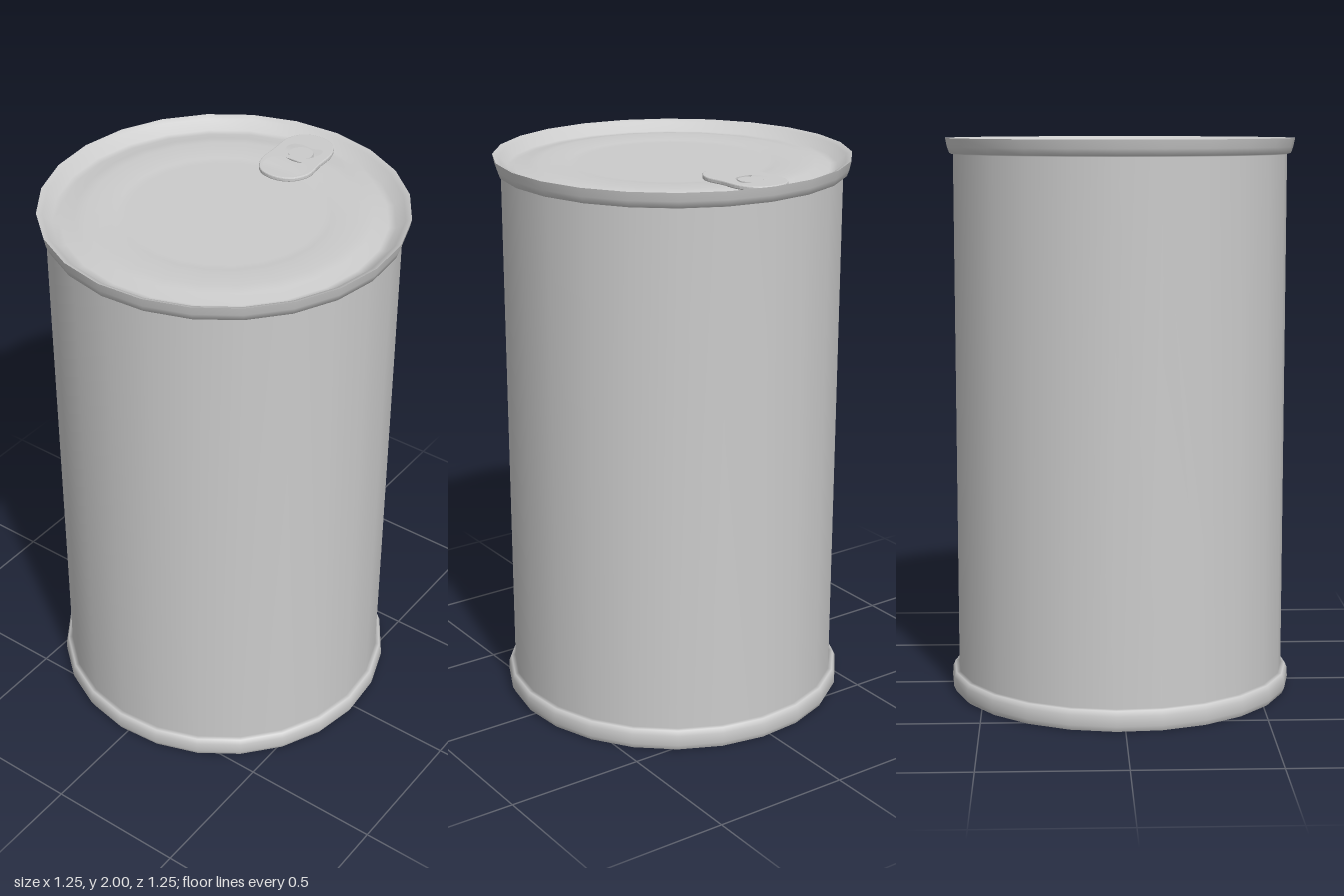
import * as THREE from 'three';

const SIDES = 24;
const START = -THREE.MathUtils.degToRad(3);
const metal = new THREE.MeshStandardMaterial({ color: 0xcccccc });

function add(group, name, geometry) {
  const mesh = new THREE.Mesh(geometry, metal);
  mesh.name = name;
  group.add(mesh);
  return mesh;
}

// Surface of revolution; points run upward on the outside, inward on top
function turned(points) {
  return new THREE.LatheGeometry(points.map(([r, y]) => new THREE.Vector2(r, y)), SIDES, START);
}

// Closed smooth outline through (x, z) points, drawn in the lid plane
function outline(points, Type) {
  const curve = new THREE.CatmullRomCurve3(
    points.map(([x, z]) => new THREE.Vector3(x, -z, 0)), true, 'centripetal');
  return new Type(curve.getPoints(48).slice(0, -1).map(p => new THREE.Vector2(p.x, p.y)));
}

function pullTab() {
  const tab = new THREE.Group();
  tab.name = 'pullTab';

  // Ring plate with a finger hole and a rivet opening
  const plate = outline([[0.26, 0.01], [0.275, -0.05], [0.33, -0.087], [0.42, -0.094], [0.51, -0.097],
    [0.565, -0.065], [0.583, -0.005], [0.565, 0.055], [0.51, 0.091], [0.42, 0.099], [0.34, 0.106],
    [0.28, 0.07]], THREE.Shape);
  plate.holes.push(
    outline([[0.28, 0.01], [0.288, -0.05], [0.32, -0.073], [0.365, -0.068], [0.388, -0.04], [0.395, 0.01],
      [0.39, 0.065], [0.365, 0.087], [0.32, 0.087], [0.29, 0.065]], THREE.Path),
    outline([[0.403, 0], [0.415, -0.045], [0.45, -0.067], [0.485, -0.06], [0.5, -0.03], [0.498, 0.02],
      [0.51, 0.05], [0.49, 0.067], [0.45, 0.06], [0.415, 0.04]], THREE.Path));
  const geometry = new THREE.ExtrudeGeometry(plate, {
    depth: 0.008, bevelEnabled: true, bevelThickness: 0.004, bevelSize: 0.004, bevelOffset: -0.004,
    bevelSegments: 2,
  });
  geometry.rotateX(-Math.PI / 2);
  add(tab, 'tabPlate', geometry).position.y = 1.979;

  // Rivet holding the plate to the lid
  add(tab, 'rivet', new THREE.CylinderGeometry(0.043, 0.046, 0.025, 20)).position.set(0.45, 1.975, 0);
  return tab;
}

export function createModel() {
  const can = new THREE.Group();
  can.name = 'can';

  // Wall with the rolled seams at both ends
  add(can, 'wall', turned([
    [0.612, 0], [0.622, 0.02], [0.62, 0.055], [0.612, 0.073], [0.597, 0.075],
    [0.597, 1.943], [0.611, 1.947], [0.619, 1.97], [0.625, 2],
  ]));

  // Flat base
  add(can, 'base', turned([[0, 0], [0.612, 0]]));

  // Lid: drops inside the rim, then steps up toward the centre panel
  add(can, 'lid', turned([
    [0.625, 2], [0.605, 1.992], [0.575, 1.962], [0.55, 1.96], [0.5, 1.973], [0.46, 1.977],
    [0.385, 1.976], [0.36, 1.971], [0.33, 1.97], [0, 1.97],
  ]));

  can.add(pullTab());
  return can;
}
